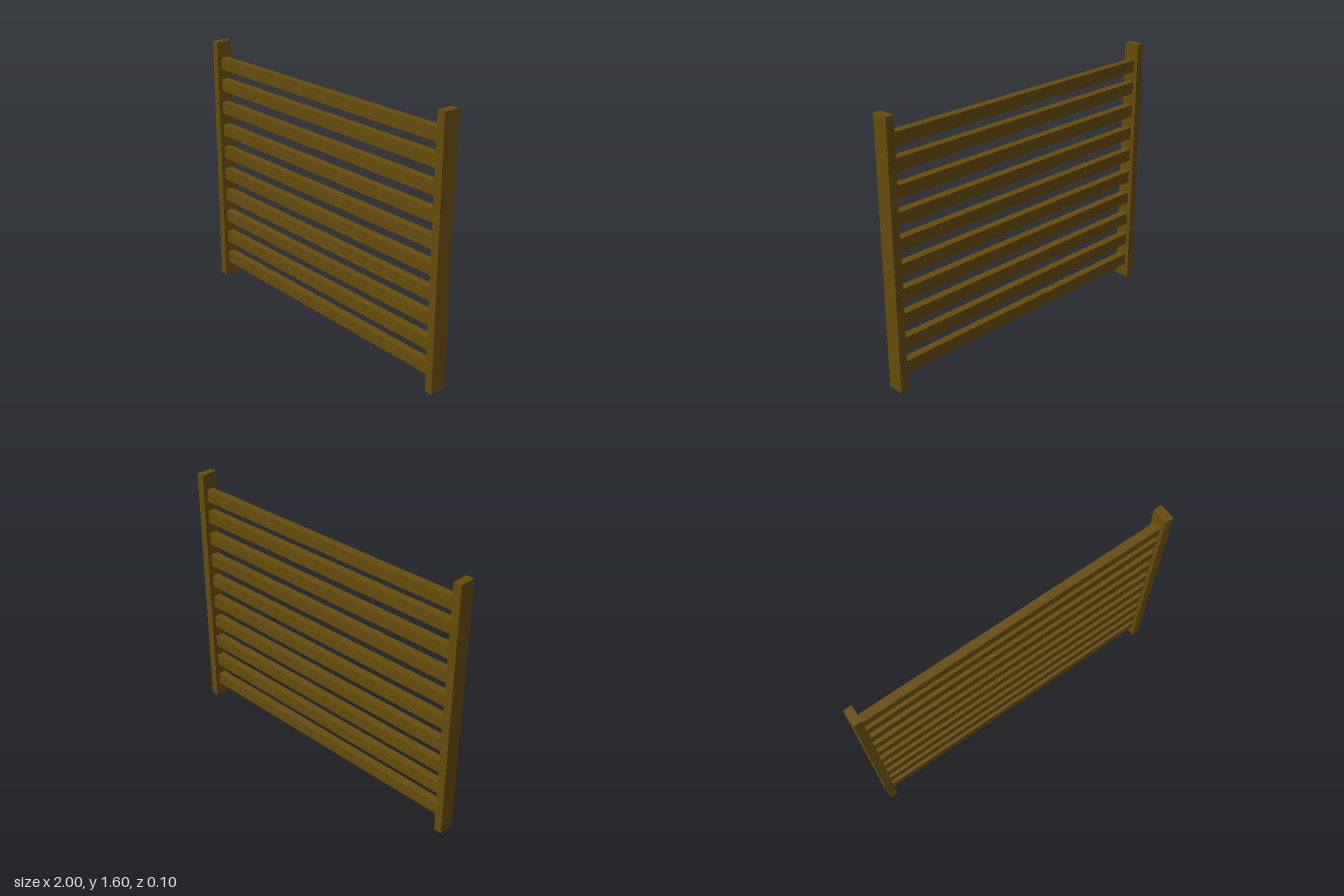
import * as THREE from 'three';

export function createModel() {
  const group = new THREE.Group();
  const wood = new THREE.MeshStandardMaterial({ color: 0x664c0c });

  const addBeam = (name, w, h, d, x, y) => {
    const mesh = new THREE.Mesh(new THREE.BoxGeometry(w, h, d), wood);
    mesh.name = name;
    mesh.position.set(x, y, 0);
    group.add(mesh);
  };

  // Upright posts at both ends
  const postHeight = 1.604, postWidth = 0.05;
  for (const side of [-1, 1]) {
    addBeam(side > 0 ? 'leftPost' : 'rightPost', postWidth, postHeight, 0.1,
      side * (1 - postWidth / 2), postHeight / 2);
  }

  // Ten horizontal rails, evenly spaced except for the slightly closer top one
  const railCount = 10;
  for (let i = 0; i < railCount; i++) {
    const y = i === railCount - 1 ? 1.465 : 0.128 + i * 0.1497;
    addBeam(`rail${i + 1}`, 2 - 2 * postWidth, 0.075, 0.05, 0, y);
  }

  return group;
}
